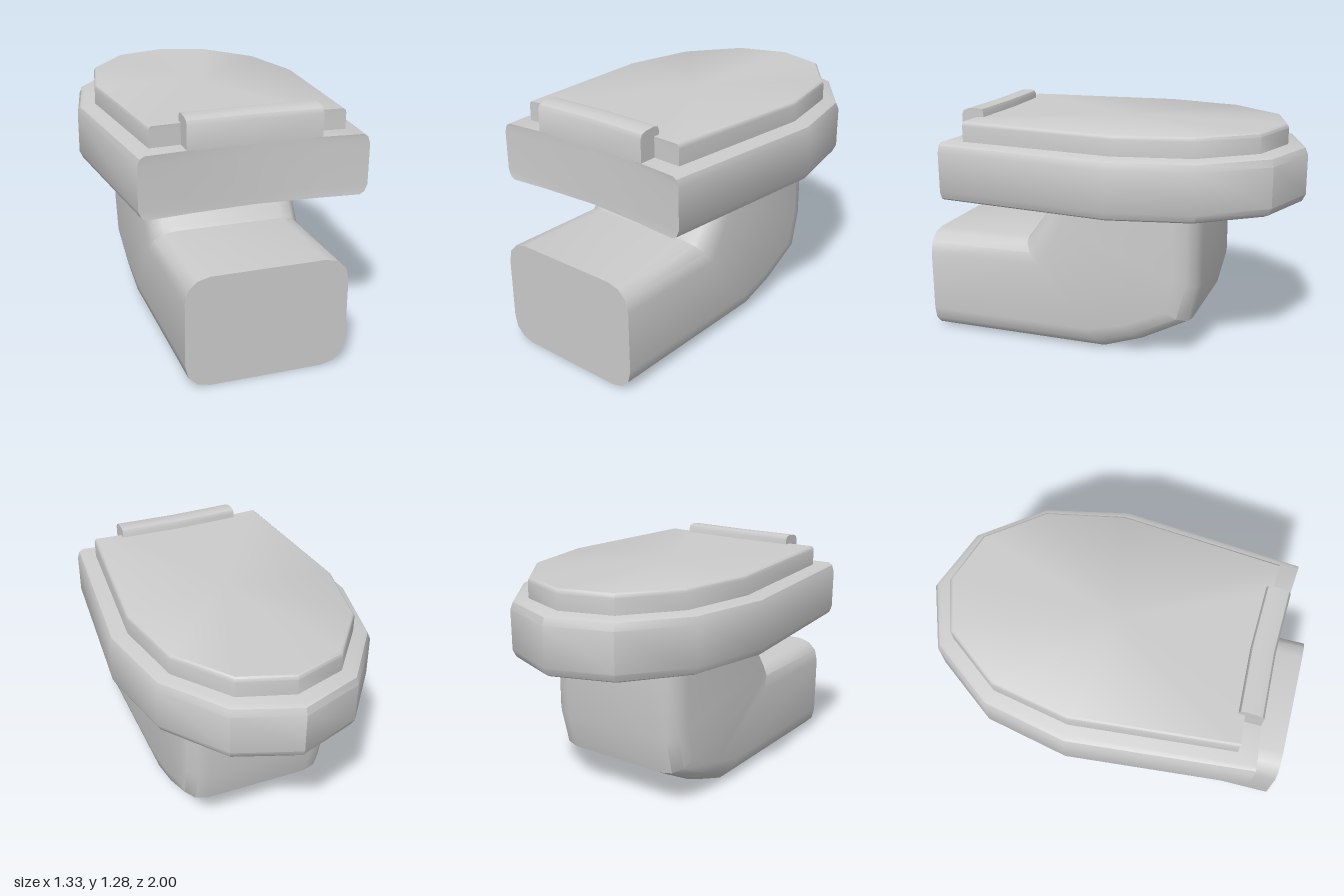
import * as THREE from 'three';
import { toCreasedNormals } from 'three/addons/utils/BufferGeometryUtils.js';

const material = new THREE.MeshStandardMaterial({ color: 0xcccccc });

// Closed solid through a list of equal-length rings of [x, y, z], capped at both ends
function loft(name, rings, crease = 0.65) {
  const n = rings[0].length, last = rings.length - 1;
  const pts = rings.flat();
  const centre = (r) => [0, 1, 2].map((k) => r.reduce((s, p) => s + p[k], 0) / n);
  pts.push(centre(rings[0]), centre(rings[last]));
  let tris = [];
  for (let j = 0; j < n; j++) {
    const k = (j + 1) % n;
    for (let i = 0; i < last; i++) {
      const a = i * n + j, b = i * n + k;
      tris.push([a, b, b + n], [a, b + n, a + n]);
    }
    tris.push([pts.length - 2, k, j], [pts.length - 1, last * n + j, last * n + k]);
  }
  // Turn the faces outward when the enclosed volume is negative
  const v = pts.map((p) => new THREE.Vector3(...p));
  const cross = new THREE.Vector3();
  const volume = tris.reduce((s, [a, b, c]) => s + v[a].dot(cross.crossVectors(v[b], v[c])), 0);
  if (volume < 0) tris = tris.map(([a, b, c]) => [a, c, b]);
  const geo = new THREE.BufferGeometry().setFromPoints(v);
  geo.setIndex(tris.flat());
  const mesh = new THREE.Mesh(toCreasedNormals(geo, crease), material);
  mesh.name = name;
  return mesh;
}

// Slab from half an outline [x, z], first and last point on the centre line.
// Each layer is [y, inset]; the flat hinge end is not inset lengthwise.
function slab(name, half, layers) {
  const mirrored = half.slice(1, -1).reverse().map(([x, z]) => [-x, z]);
  const outline = [...half, ...mirrored];
  const width = Math.max(...half.map((p) => p[0]));
  return loft(name, layers.map(([y, d]) =>
    outline.map(([x, z]) => [x * (1 - d / width), y, z < 0 ? z * (1 - d) : z])));
}

// Rounded-rectangle section spanning from an outer to an inner [z, y] point
function pedestalSection([outer, inner, stretch]) {
  const length = Math.hypot(inner[0] - outer[0], inner[1] - outer[1]);
  const corner = [[0.29, 0], [0.355, 0.016], [0.4, 0.06], [0.415, 0.125]];
  const right = [
    ...corner.map(([x, d]) => [x, d * stretch / length]),
    ...corner.slice().reverse().map(([x, d]) => [x, 1 - d * stretch / length]),
  ];
  const ring = [...right, ...right.slice().reverse().map(([x, t]) => [-x, t])];
  return ring.map(([x, t]) => [
    x,
    outer[1] + (inner[1] - outer[1]) * t,
    outer[0] + (inner[0] - outer[0]) * t,
  ]);
}

export function createModel() {
  const group = new THREE.Group();
  group.name = 'toilet';

  // Elbow-shaped pedestal: [outer, inner, corner stretch]
  group.add(loft('pedestal', [
    [[1, 0], [1, 0.575], 1],
    [[-0.02, 0], [0.45, 0.575], 1.25],
    [[-0.24, 0.08], [0.43, 0.602], 1.15],
    [[-0.48, 0.21], [0.39, 0.655], 1.1],
    [[-0.53, 0.41], [0.33, 0.735], 1.05],
    [[-0.53, 0.83], [0.26, 0.83], 1],
  ].map(pedestalSection)));

  // Bowl rim with rounded upper and lower edges
  group.add(slab('bowlRim',
    [[0, -1], [0.33, -0.88], [0.573, -0.56], [0.667, -0.12], [0.58, 0.825], [0.34, 0.803], [0, 0.785]],
    [[0.815, 0.045], [0.828, 0.018], [0.865, 0], [1.075, 0], [1.112, 0.015], [1.125, 0.04]]));

  // Closed lid
  group.add(slab('lid',
    [[0, -0.895], [0.275, -0.805], [0.49, -0.525], [0.57, -0.12], [0.497, 0.72], [0.34, 0.71], [0, 0.69]],
    [[1.12, 0], [1.208, 0], [1.223, 0.005], [1.23, 0.015]]));

  // Hinge bar, bowed slightly across its width; profile as [z, y]
  const profile = [[0.803, 1.12], [0.803, 1.24], [0.792, 1.262], [0.765, 1.273],
    [0.71, 1.278], [0.685, 1.272], [0.677, 1.255], [0.677, 1.12]];
  group.add(loft('hingeBar', [-0.34, 0, 0.34].map((x) =>
    profile.map(([z, y]) => [x, y, z - (x === 0 ? 0.012 : 0)]))));

  return group;
}
